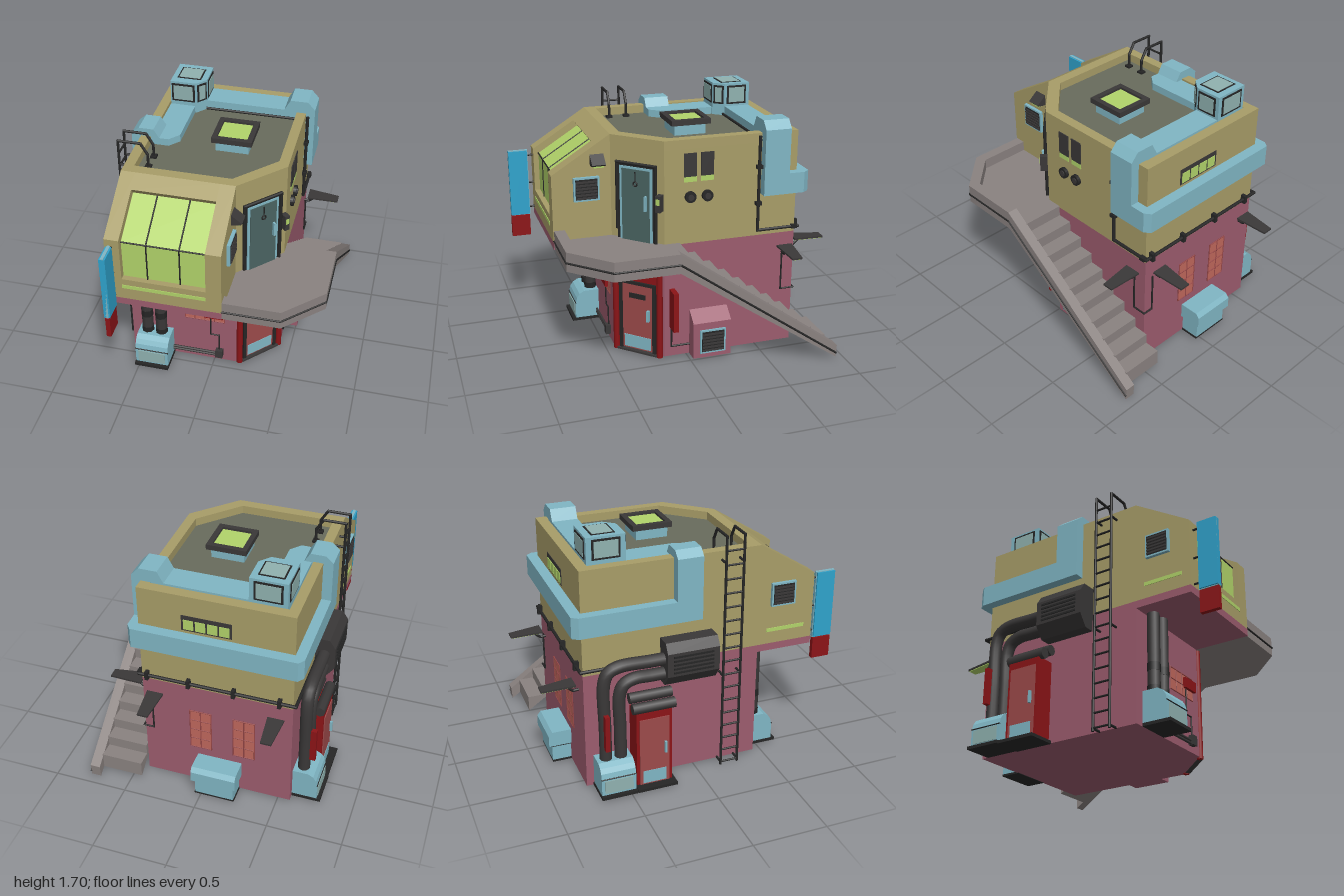
import * as THREE from 'three';

const C = { olive: 0xa89d68, pink: 0x9c5c6e, blue: 0x80b6c4, green: 0xb2d46a, dark: 0x3a3838, black: 0x262626,
  grey: 0x8a8280, red: 0x8c1417, doorRed: 0x9c4a4a, sign: 0x2fa3cc, roof: 0x686c5c, orange: 0xc0685c,
  glass: 0x90b2b0, doorGreen: 0x4a6462, pale: 0xd07068 };
const mats = {};
const mat = c => mats[c] ??= new THREE.MeshStandardMaterial({ color: C[c], side: THREE.DoubleSide, flatShading: true });
const smooth = c => mats['s' + c] ??= new THREE.MeshStandardMaterial({ color: C[c], side: THREE.DoubleSide });

export function createModel() {
  const root = new THREE.Group();
  const add = (name, geo, m, parent = root) => {
    const mesh = new THREE.Mesh(geo, m);
    mesh.name = name;
    parent.add(mesh);
    return mesh;
  };
  const group = (name, x, y, z, ry = 0) => {
    const g = new THREE.Group();
    g.name = name;
    g.position.set(x, y, z);
    g.rotation.y = ry;
    root.add(g);
    return g;
  };
  // box given by its limits on each axis
  const box = (name, c, x0, x1, y0, y1, z0, z1, parent) => add(name,
    new THREE.BoxGeometry(x1 - x0, y1 - y0, z1 - z0).translate((x0 + x1) / 2, (y0 + y1) / 2, (z0 + z1) / 2), mat(c), parent);
  const extrude = (pts, depth, hole) => {
    const s = new THREE.Shape(pts.map(p => new THREE.Vector2(...p)));
    if (hole) s.holes.push(new THREE.Path(hole.map(p => new THREE.Vector2(...p))));
    return new THREE.ExtrudeGeometry(s, { depth, bevelEnabled: false });
  };
  // floor plan of (x, z) points raised from y0 to y1
  const plan = (name, c, pts, y0, y1, hole, parent) => add(name,
    extrude(pts.map(([x, z]) => [x, -z]), y1 - y0, hole?.map(([x, z]) => [x, -z])).rotateX(-Math.PI / 2).translate(0, y0, 0), mat(c), parent);
  // side profile of (z, y) points swept from x0 to x1
  const side = (name, c, pts, x0, x1, parent) => add(name,
    extrude(pts.map(([z, y]) => [-z, y]), x1 - x0).rotateY(Math.PI / 2).translate(x0, 0, 0), mat(c), parent);
  // thin rods joined end to end
  const rods = (name, c, pts, r = 0.008, parent) => pts.slice(1).forEach((p, i) => {
    const a = new THREE.Vector3(...pts[i]), b = new THREE.Vector3(...p), d = b.clone().sub(a);
    const m = add(name, new THREE.CylinderGeometry(r, r, d.length() + r, 8), smooth(c), parent);
    m.position.copy(a).lerp(b, 0.5);
    m.quaternion.setFromUnitVectors(new THREE.Vector3(0, 1, 0), d.normalize());
  });

  // ground floor and upper floor
  const foot = [[-0.585, -0.75], [0.42, -0.75], [0.42, 0.16], [0.15, 0.44], [-0.585, 0.44]];
  const inner = [[-0.52, -0.68], [0.355, -0.68], [0.355, 0.11], [0.11, 0.37], [-0.52, 0.37]];
  plan('groundFloor', 'pink', foot, 0.015, 0.82);
  plan('upperFloor', 'olive', foot, 0.82, 1.46);
  plan('parapet', 'olive', foot, 1.46, 1.52, inner);
  plan('roofDeck', 'roof', inner, 1.46, 1.465);

  // overhanging front bay with its recessed sloping window
  const bay = [[0.44, 0.82], [0.83, 0.82], [0.83, 1.275], [0.44, 1.52]];
  side('bayLeftCheek', 'olive', bay, -0.585, -0.49);
  side('bayRightCheek', 'olive', bay, 0.05, 0.15);
  side('bayCentre', 'olive', [[0.44, 0.82], [0.83, 0.82], [0.83, 0.975], [0.79, 0.975], [0.79, 1.24], [0.51, 1.415], [0.54, 1.457], [0.44, 1.52]], -0.49, 0.05);
  box('bayBase', 'pink', -0.585, 0.15, 0.77, 0.82, 0.44, 0.83);
  side('bayGlass', 'green', [[0.78, 0.977], [0.794, 0.977], [0.794, 1.243], [0.514, 1.419], [0.5, 1.41], [0.78, 1.23]], -0.488, 0.048);
  for (const x of [-0.33, -0.12]) rods('mullion', 'black', [[x, 0.975, 0.795], [x, 1.243, 0.795], [x, 1.42, 0.514]], 0.005);
  rods('transom', 'black', [[-0.49, 1.243, 0.795], [0.05, 1.243, 0.795]], 0.005);
  box('frontLightStrip', 'green', -0.49, 0.05, 0.905, 0.93, 0.825, 0.834);
  box('sideLightStrip', 'green', -0.589, -0.58, 0.905, 0.93, 0.5, 0.77);

  // louvred vents: panel faces local +z
  const louvre = (x, y, z, ry, w, h) => {
    const g = group('louvreVent', x, y, z, ry);
    box('ventFrame', 'blue', -w / 2, w / 2, -h / 2, h / 2, 0, 0.022, g);
    box('ventHole', 'black', -w / 2 + 0.012, w / 2 - 0.012, -h / 2 + 0.012, h / 2 - 0.012, 0.01, 0.024, g);
    for (let i = 0; i < 6; i++) {
      const y0 = -h / 2 + 0.016 + i * (h - 0.03) / 6;
      box('ventSlat', 'dark', -w / 2 + 0.015, w / 2 - 0.015, y0, y0 + 0.012, 0.02, 0.03, g);
    }
  };
  louvre(0.15, 1.17, 0.605, Math.PI / 2, 0.17, 0.16);
  louvre(-0.585, 1.17, 0.605, -Math.PI / 2, 0.17, 0.16);
  side('ventHousing', 'pink', [[-0.28, 0.015], [-0.015, 0.015], [-0.015, 0.27], [-0.28, 0.27]], 0.42, 0.51);
  add('ventHousingTop', extrude([[0.42, 0.27], [0.51, 0.27], [0.42, 0.34]], 0.265).translate(0, 0, -0.28), mat('pink'));
  louvre(0.5, 0.135, -0.15, Math.PI / 2, 0.18, 0.17);

  // bay wall lamp
  add('wallLampHood', extrude([[0.15, 1.395], [0.22, 1.34], [0.21, 1.33], [0.15, 1.32]], 0.09).translate(0, 0, 0.485), mat('dark'));
  box('wallLampGlow', 'green', 0.16, 0.205, 1.318, 1.328, 0.495, 0.565);

  // corner doors, built flat and turned to the chamfer
  const turn = Math.atan2(0.28, 0.27);
  const low = group('lowerDoor', 0.285, 0, 0.3, turn);
  box('doorSurround', 'red', -0.15, 0.15, 0.02, 0.77, -0.01, 0.006, low);
  for (const s of [-1, 1]) {
    rods('doorPost', 'red', [[s * 0.165, 0.02, 0.012], [s * 0.165, 0.77, 0.012]], 0.022, low);
    box('doorJamb', 'black', s * 0.125 - 0.012, s * 0.125 + 0.012, 0.02, 0.53, 0, 0.022, low);
  }
  box('doorHead', 'black', -0.137, 0.137, 0.51, 0.53, 0, 0.022, low);
  box('doorLeaf', 'doorRed', -0.113, 0.113, 0.03, 0.51, 0, 0.014, low);
  box('peepSlot', 'black', -0.06, 0.06, 0.41, 0.445, 0.012, 0.02, low);
  box('kickPlate', 'blue', -0.1, 0.1, 0.04, 0.13, 0.012, 0.018, low);
  box('doorHandle', 'blue', 0.075, 0.092, 0.26, 0.34, 0.012, 0.035, low);
  box('doorStep', 'dark', -0.15, 0.15, 0.012, 0.025, 0, 0.035, low);

  const up = group('upperDoor', 0.285, 0, 0.3, turn);
  box('doorFrame', 'black', -0.14, 0.14, 0.83, 1.35, 0, 0.014, up);
  rods('doorTrim', 'black', [[-0.14, 0.9, 0.015], [-0.14, 1.35, 0.015], [0.14, 1.35, 0.015], [0.14, 0.83, 0.015]], 0.011, up);
  box('doorBorder', 'blue', -0.118, 0.118, 0.83, 1.33, 0, 0.02, up);
  box('doorLeaf', 'doorGreen', -0.1, 0.1, 0.83, 1.315, 0, 0.025, up);
  add('porthole', new THREE.TorusGeometry(0.014, 0.005, 6, 16).translate(0, 1.22, 0.028), smooth('black'), up);
  rods('bellCord', 'black', [[0, 1.3, 0.028], [0, 1.235, 0.028]], 0.004, up);
  box('doorHandle', 'blue', 0.07, 0.085, 1.05, 1.15, 0.02, 0.045, up);
  box('keypad', 'dark', 0.155, 0.19, 1.06, 1.17, 0, 0.05, up);
  box('keypadLight', 'green', 0.16, 0.185, 1.11, 1.15, 0.045, 0.053, up);

  // balcony, staircase and outer railing wall
  plan('balconyFloor', 'grey', [[0.15, 0.82], [0.52, 0.82], [0.765, 0.58], [0.765, 0.16], [0.42, 0.16], [0.15, 0.44]], 0.77, 0.83);
  plan('balconyWall', 'grey', [[0.15, 0.825], [0.522, 0.825], [0.768, 0.582], [0.768, 0.16], [0.7, 0.16], [0.7, 0.55], [0.495, 0.755], [0.15, 0.755]], 0.77, 0.9);
  side('stairWall', 'grey', [[0.16, 0.9], [0.16, 0.77], [-0.94, 0.015], [-0.945, 0.1]], 0.7, 0.768);
  const steps = [[-0.88, 0.05], [0.16, 0.77]];
  for (let i = 0; i < 10; i++) steps.push([0.16 - 0.104 * i, 0.83 - 0.0745 * i], [0.16 - 0.104 * (i + 1), 0.83 - 0.0745 * i]);
  side('stairs', 'grey', [...steps, [-0.88, 0.06]], 0.42, 0.705);
  rods('wallRail', 'black', [[0.15, 0.828, 0.826], [0.522, 0.828, 0.826], [0.768, 0.828, 0.582], [0.768, 0.828, 0.16], [0.768, 0.045, -0.94]], 0.007);

  // right wall windows and round vents
  for (const z of [-0.0125, -0.1275]) {
    box('wallWindow', 'dark', 0.415, 0.426, 1.275, 1.43, z - 0.043, z + 0.043);
    box('wallWindowLight', 'green', 0.415, 0.425, 1.24, 1.275, z - 0.043, z + 0.043);
    add('roundVent', new THREE.CylinderGeometry(0.037, 0.037, 0.03, 20).rotateZ(Math.PI / 2).translate(0.427, 1.14, z), mat('black'));
    add('roundVentCap', new THREE.CylinderGeometry(0.02, 0.02, 0.04, 16).rotateZ(Math.PI / 2).translate(0.427, 1.14, z), mat('dark'));
  }

  // barred windows, facing local +z
  const barred = (x, y, z, ry, w, h, nx, ny) => {
    const g = group('barredWindow', x, y, z, ry);
    box('pane', 'orange', -w / 2, w / 2, -h / 2, h / 2, 0, 0.004, g);
    for (let i = 0; i <= nx; i++) rods('bar', 'doorRed', [[-w / 2 + w * i / nx, -h / 2, 0.004], [-w / 2 + w * i / nx, h / 2, 0.004]], 0.004, g);
    for (let i = 0; i <= ny; i++) rods('bar', 'doorRed', [[-w / 2, -h / 2 + h * i / ny, 0.004], [w / 2, -h / 2 + h * i / ny, 0.004]], 0.004, g);
  };
  barred(-0.0625, 0.445, 0.44, 0, 0.275, 0.15, 4, 2);
  for (const x of [0.03, -0.265]) barred(x, 0.47, -0.75, Math.PI, 0.145, 0.31, 2, 4);
  box('backWindowFrame', 'dark', -0.19, 0.135, 1.27, 1.38, -0.753, -0.745);
  for (let i = 0; i < 4; i++) box('backPane', 'green', -0.175 + i * 0.077, -0.11 + i * 0.077, 1.28, 1.35, -0.757, -0.75);

  // signs
  box('tallSign', 'sign', -0.56, -0.52, 0.79, 1.255, 0.87, 1);
  box('tallSignEdge', 'blue', -0.55, -0.53, 0.785, 1.26, 0.865, 1);
  box('smallSign', 'red', -0.555, -0.525, 0.63, 0.78, 0.87, 1);
  for (const y of [0.84, 1.02, 1.22]) rods('signArm', 'black', [[-0.54, y, 0.82], [-0.54, y, 0.9]], 0.007);
  box('cornerSign', 'red', 0.45, 0.545, 0.25, 0.525, 0.1, 0.135);
  for (const y of [0.3, 0.48]) rods('signArm', 'black', [[0.41, y, 0.117], [0.46, y, 0.117]], 0.007);
  box('windowSign', 'red', -0.06, 0.07, 0.42, 0.49, 0.455, 0.475);
  box('doorwaySign', 'red', -0.72, -0.65, 0.33, 0.58, -0.655, -0.625);
  rods('signCable', 'black', [[-0.02, 0.42, 0.45], [-0.02, 0.25, 0.45], [0.04, 0.25, 0.45], [0.04, 0.1, 0.45]], 0.005);
  box('junctionBox', 'dark', 0.015, 0.065, 0.055, 0.12, 0.44, 0.475);
  for (const y of [0.065, 0.085]) rods('wallPipe', 'dark', [[0.02, y, 0.455], [-0.3, y, 0.455]], 0.009);
  rods('wallCable', 'black', [[0.428, 0.3, 0.115], [0.428, 0.09, 0.115], [0.428, 0.09, -0.02]], 0.007);

  // pump units with round-shouldered blue housings
  const unit = (x, z, ry) => {
    const g = group('pumpUnit', x, 0, z, ry);
    box('unitBase', 'black', -0.12, 0.12, 0.015, 0.035, 0, 0.195, g);
    side('unitHousing', 'blue', [[0, 0.035], [0.17, 0.035], [0.17, 0.15], [0.16, 0.19], [0.14, 0.22], [0.105, 0.24], [0, 0.24]], -0.115, 0.115, g);
    box('unitPanel', 'glass', -0.095, 0.095, 0.05, 0.14, 0.16, 0.176, g);
    rods('unitSeam', 'black', [[-0.116, 0.152, 0.17], [0.116, 0.152, 0.17]], 0.004, g);
  };
  unit(-0.405, 0.44, 0);
  unit(-0.585, -0.585, -Math.PI / 2);
  for (const x of [-0.46, -0.362]) {
    rods('frontPipe', 'dark', [[x, 0.2, 0.485], [x, 0.775, 0.485]], 0.041);
    for (const y of [0.25, 0.4]) rods('pipeCollar', 'black', [[x, y, 0.485], [x, y + 0.01, 0.485]], 0.043);
  }
  for (const [z, y] of [[-0.635, 0.88], [-0.535, 0.78]]) {
    const path = new THREE.CatmullRomCurve3([[0.2, z], [0.45, z], [y - 0.1, z], [y - 0.03, z + 0.03], [y, z + 0.1], [y, -0.33], [y, -0.2]]
      .map(([py, pz]) => new THREE.Vector3(-0.645, py, pz)), false, 'centripetal');
    add('sidePipe', new THREE.TubeGeometry(path, 40, 0.041, 12), smooth('dark'));
  }

  // condenser box and side porch
  add('condenser', extrude([[-0.585, 0.7], [-0.66, 0.7], [-0.72, 0.78], [-0.72, 0.94], [-0.68, 1], [-0.585, 1]], 0.35).translate(0, 0, -0.24), mat('dark'));
  for (let i = 0; i < 5; i++) box('condenserFin', 'black', -0.726, -0.715, 0.8 + i * 0.027, 0.812 + i * 0.027, -0.2, 0.07);
  box('porch', 'red', -0.715, -0.585, 0.02, 0.56, -0.45, -0.21);
  box('porchDoor', 'doorRed', -0.722, -0.71, 0.03, 0.51, -0.43, -0.23);
  box('porchKickPlate', 'blue', -0.726, -0.72, 0.04, 0.13, -0.41, -0.25);
  box('porchHandle', 'blue', -0.74, -0.72, 0.25, 0.33, -0.265, -0.25);
  box('porchStep', 'black', -0.775, -0.585, 0.01, 0.03, -0.46, -0.19);
  for (const [x, y] of [[-0.69, 0.585], [-0.625, 0.63]]) rods('porchCanopy', 'dark', [[x, y, -0.45], [x, y, -0.2]], 0.036);

  // ladder over the parapet
  for (const z of [0.17, 0.29]) {
    rods('ladderRail', 'black', [[-0.648, 0.005, z], [-0.648, 1.635, z], [-0.5, 1.635, z], [-0.455, 1.56, z], [-0.455, 1.465, z]], 0.009);
    for (const y of [0.02, 0.68, 1.46]) rods('ladderBracket', 'black', [[-0.648, y, z], [-0.58, y, z]], 0.008);
    box('ladderFoot', 'black', -0.475, -0.435, 1.465, 1.48, z - 0.02, z + 0.02);
  }
  for (let i = 0; i < 17; i++) rods('ladderRung', 'black', [[-0.648, 0.02 + i * 0.095, 0.17], [-0.648, 0.02 + i * 0.095, 0.29]], 0.007);

  // air ducts round the back and over the roof
  plan('wallDuct', 'blue', [[0.48, -0.5], [0.48, -0.78], [0.45, -0.82], [-0.62, -0.82], [-0.65, -0.78], [-0.65, 0.02], [-0.58, 0.02], [-0.58, -0.75], [0.42, -0.75], [0.42, -0.5]], 1.11, 1.25);
  add('rightDuct', extrude([[0.42, 1.2], [0.48, 1.2], [0.48, 1.55], [0.43, 1.605], [0.31, 1.605], [0.27, 1.53], [0.27, 1.465], [0.42, 1.465]], 0.175).translate(0, 0, -0.675), mat('blue'));
  add('leftDuct', extrude([[-0.585, 1.2], [-0.65, 1.2], [-0.65, 1.53], [-0.6, 1.575], [-0.5, 1.575], [-0.46, 1.51], [-0.46, 1.465], [-0.585, 1.465]], 0.17).translate(0, 0, -0.15), mat('blue'));
  plan('roofDuctSide', 'blue', [[-0.51, 0.02], [-0.4, 0.02], [-0.34, -0.05], [-0.34, -0.45], [-0.51, -0.45]], 1.465, 1.515);
  box('roofDuctBack', 'blue', -0.3, 0.33, 1.465, 1.53, -0.675, -0.5);
  rods('roofPipe', 'black', [[-0.27, 1.475, -0.49], [0.42, 1.475, -0.49]], 0.009);

  // roof turret and skylight
  plan('turret', 'blue', [[-0.51, -0.68], [-0.27, -0.68], [-0.27, -0.5], [-0.33, -0.43], [-0.51, -0.43]], 1.465, 1.69);
  const pane = (x, z, ry, w) => {
    const g = group('turretWindow', x, 1.61, z, ry);
    box('turretFrame', 'black', -w / 2, w / 2, -0.065, 0.065, -0.01, 0.005, g);
    box('turretGlass', 'glass', -w / 2 + 0.013, w / 2 - 0.013, -0.052, 0.052, 0, 0.008, g);
  };
  pane(-0.42, -0.43, 0, 0.16);
  pane(-0.3, -0.465, Math.atan2(0.07, 0.06), 0.075);
  pane(-0.27, -0.585, Math.PI / 2, 0.14);
  pane(-0.51, -0.555, -Math.PI / 2, 0.18);
  pane(-0.39, -0.68, Math.PI, 0.18);
  box('turretTopFrame', 'black', -0.475, -0.31, 1.68, 1.693, -0.635, -0.485);
  box('turretTopGlass', 'glass', -0.465, -0.32, 1.68, 1.696, -0.625, -0.495);
  box('skylightBase', 'blue', -0.09, 0.13, 1.465, 1.535, -0.215, 0);
  plan('skylightFrame', 'dark', [[-0.113, -0.245], [0.155, -0.245], [0.155, 0.025], [-0.113, 0.025]], 1.535, 1.57,
    [[-0.08, -0.21], [0.12, -0.21], [0.12, -0.01], [-0.08, -0.01]]);
  box('skylightGlass', 'green', -0.08, 0.12, 1.53, 1.555, -0.21, -0.01);

  // rear chest
  box('chestLower', 'blue', -0.23, 0.035, 0.025, 0.13, -0.88, -0.75);
  box('chestSeam', 'black', -0.235, 0.04, 0.13, 0.145, -0.885, -0.75);
  side('chestLid', 'blue', [[-0.75, 0.145], [-0.905, 0.145], [-0.905, 0.22], [-0.88, 0.25], [-0.75, 0.25]], -0.25, 0.055);
  box('chestBase', 'black', -0.235, 0.04, 0.012, 0.025, -0.88, -0.74);

  // projecting wing lamps
  for (const [x, z, ry] of [[-0.483, -0.75, Math.PI], [0.325, -0.75, Math.PI], [0.42, -0.67, Math.PI / 2]]) {
    const g = group('wingLamp', x, 0.73, z, ry);
    g.rotation.order = 'YXZ';
    g.rotation.x = 0.06;
    const wing = [[-0.055, 0.03], [0.055, 0.03], [0.035, 0.25], [-0.035, 0.25]];
    plan('lampHood', 'dark', wing, 0.003, 0.015, null, g);
    plan('lampGlow', 'green', wing.map(([a, b]) => [a * 0.85, b * 0.95 + 0.006]), -0.002, 0.003, null, g);
    rods('lampArm', 'black', [[0, -0.05, 0], [0, -0.05, 0.04], [0, 0.005, 0.1]], 0.009, g);
  }

  // service pipes along the seam
  rods('seamPipe', 'black', [[0.435, 1.5, -0.48], [0.435, 0.86, -0.48], [0.435, 0.86, -0.768], [-0.605, 0.86, -0.768], [-0.605, 0.86, -0.25]], 0.011);
  for (const x of [0.38, 0.1, -0.2, -0.5]) box('pipeClamp', 'black', x - 0.012, x + 0.012, 0.83, 0.89, -0.785, -0.75);
  for (const [y, z] of [[1.3, -0.48], [1.05, -0.48], [0.86, -0.74]]) box('pipeClamp', 'black', 0.42, 0.45, y - 0.012, y + 0.012, z - 0.02, z + 0.02);
  rods('lampCable', 'black', [[0.43, 0.68, -0.665], [0.43, 0.41, -0.665], [0.43, 0.41, -0.758], [0.36, 0.41, -0.758], [0.36, 0.68, -0.758]], 0.006);
  return root;
}
